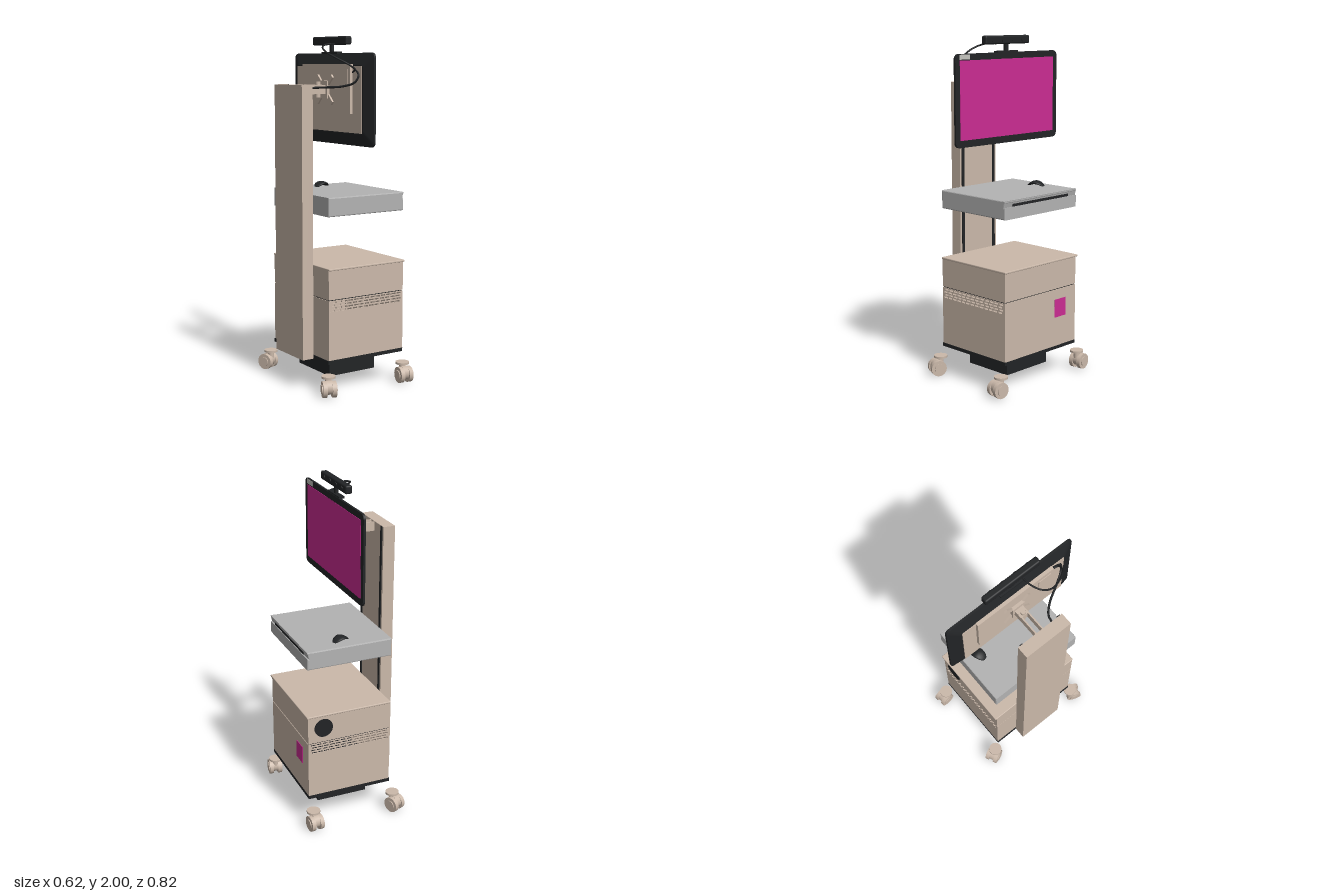
import * as THREE from 'three';
import { RoundedBoxGeometry } from 'three/addons/geometries/RoundedBoxGeometry.js';

const mat = (name, color) => Object.assign(new THREE.MeshStandardMaterial({ color }), { name });

export function createModel() {
  const model = new THREE.Group();
  model.name = 'medicalCart';
  const beige = mat('beige', 0xcbb9aa);
  const black = mat('black', 0x222426);
  const grey = mat('grey', 0xb3b3b3);
  const pink = mat('magenta', 0xcb2c93);
  const pale = mat('paleGrey', 0xc4c4be);

  const add = (name, geo, material, parent = model) => {
    const mesh = new THREE.Mesh(geo, material);
    mesh.name = name;
    parent.add(mesh);
    return mesh;
  };
  // Box given by its limits on each axis
  const box = (name, m, x0, x1, y0, y1, z0, z1, parent = model, r = 0) => {
    const size = [x1 - x0, y1 - y0, z1 - z0];
    const geo = r ? new RoundedBoxGeometry(...size, 2, r) : new THREE.BoxGeometry(...size);
    const mesh = add(name, geo, m, parent);
    mesh.position.set((x0 + x1) / 2, (y0 + y1) / 2, (z0 + z1) / 2);
    return mesh;
  };
  const tube = (name, pts, r) => add(name, new THREE.TubeGeometry(
    new THREE.CatmullRomCurve3(pts.map(p => new THREE.Vector3(...p))), 40, r, 8), black);
  const roundedRect = (w, h, r) => {
    const s = new THREE.Shape(), x = w / 2, y = h / 2;
    s.absarc(x - r, y - r, r, 0, Math.PI / 2);
    s.absarc(-x + r, y - r, r, Math.PI / 2, Math.PI);
    s.absarc(-x + r, -y + r, r, Math.PI, Math.PI * 1.5);
    s.absarc(x - r, -y + r, r, Math.PI * 1.5, Math.PI * 2);
    return s;
  };

  // Column with two black rails
  box('column', beige, -0.312, -0.241, 0.175, 1.73, -0.14, 0.155);
  for (const z of [-0.117, 0.133]) box('columnRail', black, -0.241, -0.236, 0.175, 1.73, z - 0.009, z + 0.009);

  // Cabinet: hollow lower part with vented sides
  const X0 = -0.235, X1 = 0.28, Z0 = -0.288, Z1 = 0.306, T = 0.006;
  const side = new THREE.Shape([[X0, 0.195], [X1, 0.195], [X1, 0.538], [X0, 0.538]]
    .map(p => new THREE.Vector2(...p)));
  for (let row = 0; row < 4; row++) {
    for (let i = 0; i < 13; i++) {
      const x = -0.222 + i * 0.0375 + (row % 2) * 0.008, y = 0.475 + row * 0.016, w = 0.029, h = 0.009;
      side.holes.push(new THREE.Path([[x, y], [x, y + h], [x + w, y + h], [x + w, y]]
        .map(p => new THREE.Vector2(...p))));
    }
  }
  const sideGeo = new THREE.ExtrudeGeometry(side, { depth: T, bevelEnabled: false });
  for (const z of [Z0, Z1 - T]) add('ventedSide', sideGeo, beige).position.z = z;
  box('cabinetDoor', beige, X1 - T, X1, 0.195, 0.538, Z0 + T, Z1 - T);
  box('cabinetBack', beige, X0, X0 + T, 0.195, 0.538, Z0 + T, Z1 - T);
  box('drawerGap', black, X0 + 0.004, X1 - 0.004, 0.536, 0.544, Z0 + 0.004, Z1 - 0.004);
  box('drawer', beige, X0, X1, 0.543, 0.712, Z0, Z1);
  box('lid', beige, X0, 0.289, 0.708, 0.72, -0.298, 0.312, model, 0.004);
  box('basePlate', black, -0.239, X1, 0.175, 0.196, -0.289, 0.307);
  box('batteryBox', black, -0.145, 0.17, 0.06, 0.176, -0.155, 0.177);
  box('doorLabel', pink, X1, X1 + 0.003, 0.37, 0.478, -0.2, -0.105);
  const port = add('roundPort', new THREE.CylinderGeometry(0.056, 0.056, 0.006, 32), black);
  port.rotation.x = Math.PI / 2;
  port.position.set(0.185, 0.632, Z0 - 0.002);

  // Tray: profile with a notch along the front edge
  const b = 0.006;
  const profile = new THREE.Shape([
    [X0 + b, 1.01 + b], [X1 - b, 1.01 + b], [X1 - b, 1.073], [0.266, 1.073],
    [0.266, 1.11], [X1 - b, 1.11], [X1 - b, 1.117 - b], [X0 + b, 1.117 - b],
  ].filter((p, i) => i !== 4 && i !== 5).map(p => new THREE.Vector2(...p)));
  add('tray', new THREE.ExtrudeGeometry(profile, {
    depth: Z1 - Z0 - 2 * b, bevelSize: b, bevelThickness: b, bevelSegments: 2,
  }), grey).position.z = Z0 + b;
  box('trayFrontLip', grey, 0.255, X1, 1.103, 1.117, Z0, Z1, model, 0.005);
  box('trayHandleSlot', black, 0.262, 0.276, 1.079, 1.104, -0.22, 0.242);

  // Mouse: a flattened ellipsoid bent into an arch
  const mouseGeo = new THREE.SphereGeometry(1, 28, 18);
  mouseGeo.scale(0.054, 0.011, 0.033);
  const mp = mouseGeo.attributes.position;
  for (let i = 0; i < mp.count; i++) mp.setY(i, mp.getY(i) - 8 * mp.getX(i) ** 2);
  mouseGeo.computeVertexNormals();
  const mouse = add('mouse', mouseGeo, black);
  mouse.position.set(0.042, 1.136, -0.197);
  mouse.rotation.y = 0.3;

  // Monitor, modelled facing +z and turned towards +x
  const monitor = new THREE.Group();
  monitor.name = 'monitor';
  monitor.rotation.y = Math.PI / 2;
  monitor.position.y = 1.648;
  model.add(monitor);
  const outline = roundedRect(0.82, 0.516, 0.03);
  add('bezel', new THREE.ExtrudeGeometry(outline, { depth: 0.013, bevelEnabled: false, curveSegments: 6 }),
    black, monitor).position.z = -0.008;
  const shellGeo = new THREE.ExtrudeGeometry(outline, { depth: 0.027, bevelEnabled: false, curveSegments: 6 });
  const sp = shellGeo.attributes.position;
  for (let i = 0; i < sp.count; i++) {
    if (sp.getZ(i) < 0.001) sp.setXY(i, sp.getX(i) * 0.84, sp.getY(i) * 0.74);
  }
  shellGeo.computeVertexNormals();
  add('taperedShell', shellGeo, black, monitor).position.z = -0.035;
  box('screen', pink, -0.377, 0.377, -0.218, 0.222, 0.004, 0.007, monitor);
  box('bezelTag', pale, -0.38, -0.3, 0.227, 0.254, 0.004, 0.007, monitor);
  box('backCover', beige, -0.335, 0.335, -0.185, 0.185, -0.039, -0.034, monitor);
  box('backPanel', beige, -0.25, 0.25, -0.078, 0.198, -0.057, -0.037, monitor);
  box('connectorCover', beige, -0.23, -0.15, 0.08, 0.17, -0.061, -0.056, monitor);

  // Mount: cross bracket, hub and twin arm plates
  for (const a of [1, -1]) {
    const bar = box('crossBar', beige, -0.068, -0.056, 1.59, 1.81, -0.008, 0.014);
    bar.rotation.x = a * Math.PI / 4;
  }
  box('mountPlate', beige, -0.075, -0.056, 1.65, 1.75, -0.037, 0.043);
  box('mountHub', beige, -0.125, -0.07, 1.675, 1.725, -0.024, 0.03);
  for (const z of [-0.019, 0.025]) box('armPlate', beige, -0.241, -0.1, 1.675, 1.728, z - 0.004, z + 0.004);
  add('mountPivot', new THREE.CylinderGeometry(0.014, 0.014, 0.09, 16), beige).position.set(-0.11, 1.7, 0.003);

  // Camera bar on its stand
  box('cameraBar', black, -0.034, 0.006, 1.952, 2, -0.177, 0.177, model, 0.01);
  box('cameraNeck', black, -0.022, -0.006, 1.91, 1.955, -0.012, 0.012);
  box('cameraFoot', black, -0.03, 0.003, 1.902, 1.914, -0.08, 0.08);
  for (const z of [-0.12, -0.04, 0.04, 0.12]) {
    const lens = add('cameraLens', new THREE.CylinderGeometry(0.013, 0.013, 0.004, 20), black);
    lens.rotation.z = Math.PI / 2;
    lens.position.set(0.007, 1.976, z);
  }

  // Cables
  tube('cameraCable', [[-0.03, 1.955, 0.06], [-0.09, 1.955, 0.068], [-0.14, 1.94, 0.1], [-0.157, 1.915, 0.15],
    [-0.13, 1.876, 0.23], [-0.085, 1.84, 0.285], [-0.05, 1.815, 0.285], [-0.04, 1.8, 0.25]], 0.005);
  tube('monitorCable', [[-0.238, 1.712, 0.09], [-0.2, 1.713, 0.1], [-0.15, 1.716, 0.15], [-0.1, 1.722, 0.235],
    [-0.06, 1.745, 0.3], [-0.042, 1.785, 0.312], [-0.04, 1.83, 0.25]], 0.006);

  // Twin-wheel casters, trailing outwards
  for (const [x, z, turn] of [[-0.247, -0.32, 0.4], [0.267, -0.325, 0.1], [-0.247, 0.32, -0.4], [0.267, 0.325, -0.15]]) {
    const caster = new THREE.Group();
    caster.name = 'caster';
    caster.position.set(x, 0, z);
    caster.rotation.y = turn + (z < 0 ? Math.PI : 0);
    model.add(caster);
    const cyl = (name, r, h, px, py, pz, across) => {
      const m = add(name, new THREE.CylinderGeometry(r, r, h, 24), beige, caster);
      m.position.set(px, py, pz);
      if (across) m.rotation.z = Math.PI / 2;
    };
    cyl('swivelPlate', 0.04, 0.012, 0, 0.112, 0);
    cyl('swivelStem', 0.018, 0.05, 0, 0.085, 0);
    cyl('casterHood', 0.04, 0.034, 0, 0.056, 0.02, true);
    for (const s of [-1, 1]) {
      cyl('wheel', 0.047, 0.024, s * 0.027, 0.047, 0.022, true);
      cyl('wheelCap', 0.028, 0.008, s * 0.04, 0.047, 0.022, true);
    }
  }
  return model;
}
